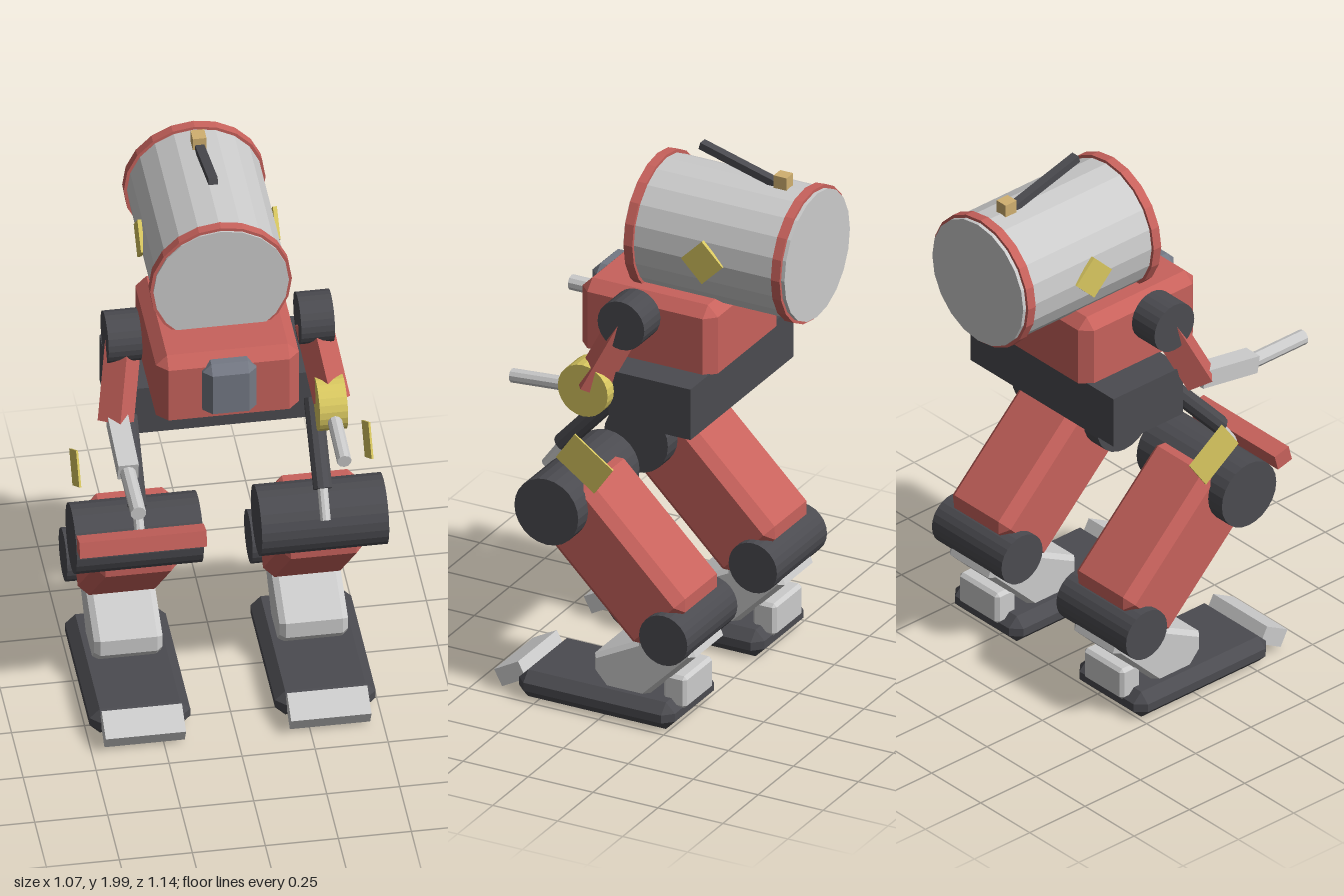
import * as THREE from 'three';
import { ConvexGeometry } from 'three/addons/geometries/ConvexGeometry.js';

const paint = (color) => new THREE.MeshStandardMaterial({ color, flatShading: true });
const grey = paint(0xcccccc);
const red = paint(0xc8625c);
const dark = paint(0x4b4b50);
const slate = paint(0x747984);
const yellow = paint(0xd9c860);
const tan = paint(0xd0b070);
const V = (x, y, z) => new THREE.Vector3(x, y, z);

// Box with cut edges; the bottom edges stay sharp when flatBase is set
function cutBox(w, h, d, c, flatBase = false) {
  const x = w / 2, y = h / 2, z = d / 2, pts = [];
  for (const sx of [-1, 1]) for (const sy of [-1, 1]) for (const sz of [-1, 1]) {
    const cy = flatBase && sy < 0 ? 0 : c;
    pts.push(V(sx * x, sy * (y - cy), sz * (z - c)), V(sx * (x - c), sy * (y - cy), sz * z));
    if (cy) pts.push(V(sx * (x - c), sy * y, sz * (z - c)));
  }
  return new ConvexGeometry(pts);
}

// Cylinder lying along x
function drum(r, len, sides = 24) {
  return new THREE.CylinderGeometry(r, r, len, sides).rotateZ(Math.PI / 2);
}

export function createModel() {
  const model = new THREE.Group();
  model.name = 'walkingRobot';

  function add(parent, name, geo, mat, x, y, z, rx = 0) {
    const mesh = new THREE.Mesh(geo, mat);
    mesh.name = name;
    mesh.position.set(x, y, z);
    mesh.rotation.x = rx;
    parent.add(mesh);
    return mesh;
  }

  // Part stretched between two points: a box if depth is given, else a rod of radius w
  function beam(parent, name, mat, a, b, w, depth) {
    const len = a.distanceTo(b);
    const geo = depth ? new THREE.BoxGeometry(w, len, depth) : new THREE.CylinderGeometry(w, w, len, 10);
    const mid = a.clone().lerp(b, 0.5);
    const mesh = add(parent, name, geo, mat, mid.x, mid.y, mid.z);
    mesh.quaternion.setFromUnitVectors(V(0, 1, 0), b.clone().sub(a).normalize());
    return mesh;
  }

  // Barrel head with hoops, side badges and antenna
  const head = new THREE.Group();
  head.name = 'head';
  model.add(head);
  const barrel = (r, len) => new THREE.CylinderGeometry(r, r, len, 20).rotateX(Math.PI / 2);
  add(head, 'headBarrel', barrel(0.232, 0.62), grey, 0, 1.67, -0.26);
  for (const z of [0.027, -0.54]) add(head, 'headHoop', barrel(0.243, 0.034), red, 0, 1.67, z);
  for (const s of [-1, 1]) {
    add(head, 'headBadge', new THREE.BoxGeometry(0.014, 0.113, 0.113), yellow, s * 0.232, 1.67, -0.255, Math.PI / 4);
  }
  add(head, 'antennaMount', new THREE.BoxGeometry(0.047, 0.05, 0.05), tan, 0, 1.92, -0.44);
  beam(head, 'antenna', dark, V(0, 1.905, -0.415), V(0, 1.985, -0.125), 0.032, 0.026);

  // Torso, chest panel and pelvis
  add(model, 'torso', cutBox(0.49, 0.25, 0.52, 0.038, true), red, 0, 1.375, -0.04);
  add(model, 'chestPanel', cutBox(0.185, 0.19, 0.1, 0.03, true), slate, 0, 1.385, 0.21);
  add(model, 'pelvis', new THREE.BoxGeometry(0.73, 0.19, 0.315), dark, 0, 1.158, -0.123);

  // Shoulders and upper arms
  for (const s of [-1, 1]) {
    add(model, 'shoulder', drum(0.09, 0.115), dark, s * 0.33, 1.443, -0.025);
    beam(model, 'upperArm', red, V(s * 0.325, 1.43, -0.015), V(s * 0.37, 1.18, 0.105), 0.09, 0.09);
  }

  // Right forearm with a long rod, left elbow drum with a short barrel
  const rightArm = new THREE.Group();
  rightArm.name = 'rightForearm';
  model.add(rightArm);
  beam(rightArm, 'forearm', grey, V(-0.365, 1.185, 0.1), V(-0.365, 1.145, 0.345), 0.07, 0.065);
  beam(rightArm, 'forearmRod', grey, V(-0.367, 1.143, 0.33), V(-0.367, 1.143, 0.575), 0.027);
  add(model, 'leftElbowDrum', drum(0.096, 0.096), yellow, 0.362, 1.177, 0.11);
  beam(model, 'leftGunBarrel', grey, V(0.365, 1.167, 0.15), V(0.365, 1.147, 0.405), 0.025);

  // Side profile of the shin as (z, y)
  const shin = new THREE.ExtrudeGeometry(
    new THREE.Shape([
      [-0.31, 0.28], [-0.13, 0.1], [-0.12, 0.06], [-0.01, 0.06], [0, 0.1], [0.045, 0.15],
      [0.045, 0.195], [-0.12, 0.28], [-0.17, 0.39], [-0.27, 0.38],
    ].map((p) => new THREE.Vector2(p[0], p[1]))),
    { depth: 0.195, bevelThickness: 0.02, bevelSize: 0.015, bevelSegments: 1 }
  ).translate(0, 0, -0.0975).rotateY(-Math.PI / 2);

  // Legs, mirrored
  for (const s of [-1, 1]) {
    const leg = new THREE.Group();
    leg.name = s > 0 ? 'leftLeg' : 'rightLeg';
    leg.position.x = s * 0.3175;
    model.add(leg);
    beam(leg, 'hipPiston', dark, V(0, 1.14, 0.03), V(0, 0.91, 0.24), 0.033);
    beam(leg, 'pistonRod', grey, V(0, 0.93, 0.22), V(0, 0.82, 0.3), 0.018);
    add(leg, 'hipDrum', drum(0.123, 0.435), dark, 0, 0.757, 0.182);
    add(leg, 'thigh', cutBox(0.295, 0.57, 0.287, 0.035), red, 0, 0.567, -0.016, 0.796);
    add(leg, 'kneeDrum', drum(0.093, 0.355), dark, 0, 0.355, -0.246);
    add(leg, 'shin', shin, grey, 0, 0, 0);
    add(leg, 'heelBlock', cutBox(0.2, 0.12, 0.09, 0.012), grey, 0, 0.13, -0.245);
    add(leg, 'foot', cutBox(0.345, 0.1, 0.6, 0.035), dark, 0, 0.053, 0.03);
    add(leg, 'toePlate', new THREE.BoxGeometry(0.275, 0.065, 0.105), grey, 0, 0.07, 0.365, 0.5);
    add(leg, 'sidePlate', new THREE.BoxGeometry(0.007, 0.125, 0.18), yellow, s * 0.183, 0.955, 0.053, -0.61);
  }

  // Bumper bar on the right hip
  add(model, 'hipBumper', new THREE.BoxGeometry(0.435, 0.058, 0.065), red, -0.3175, 0.837, 0.337, -0.25);

  return model;
}
